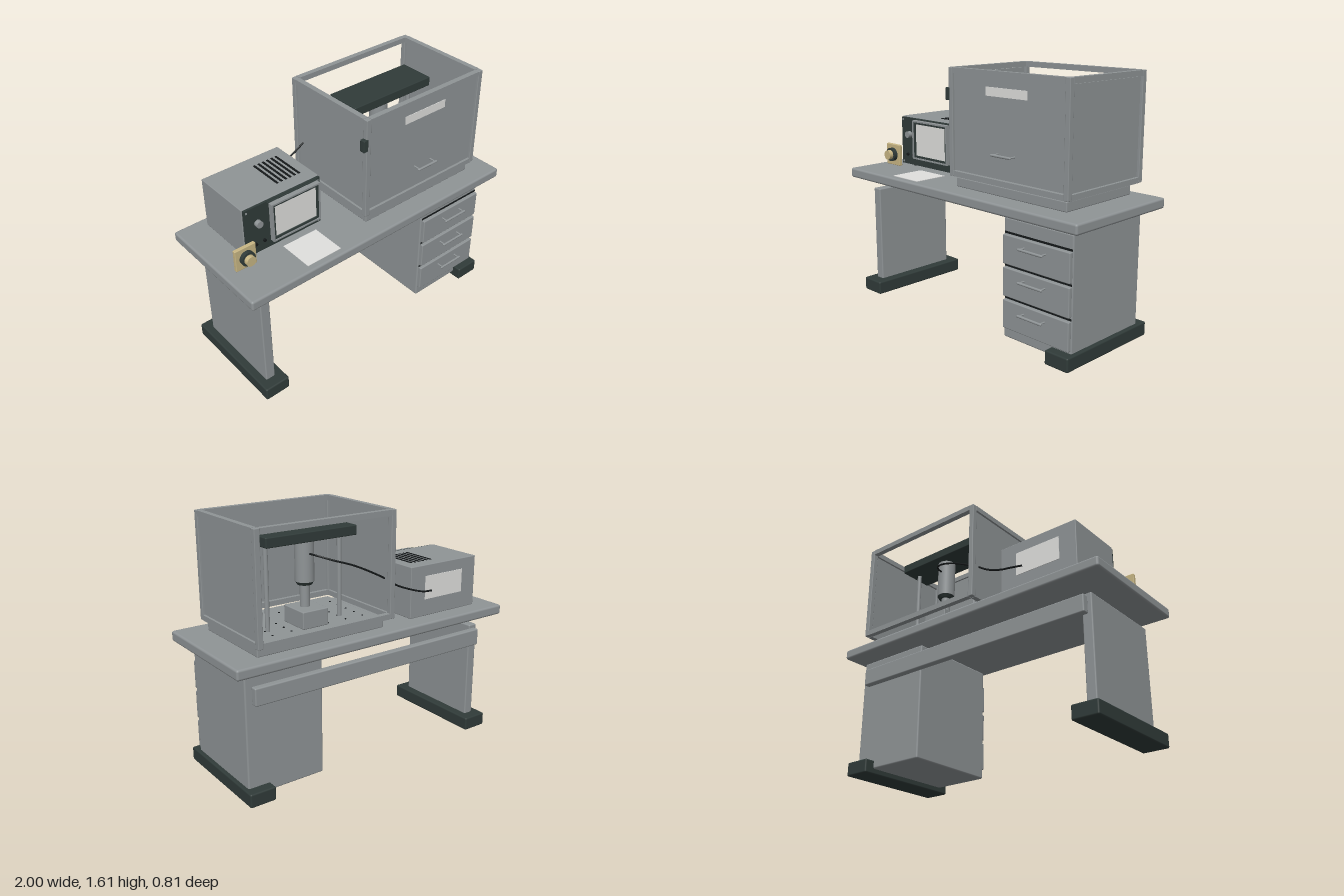
import * as THREE from 'three';
import { RoundedBoxGeometry } from 'three/addons/geometries/RoundedBoxGeometry.js';

const mat = (name, color) => {
  const m = new THREE.MeshStandardMaterial({ color });
  m.name = name;
  return m;
};

export function createModel() {
  const root = new THREE.Group();
  root.name = 'labBench';
  const grey = mat('painted grey', 0x8f9496);
  const dark = mat('dark green black', 0x303b39);
  const black = mat('black', 0x15191a);
  const pale = mat('pale white', 0xe0e0de);
  const gold = mat('brass', 0xc8b684);

  const group = (name) => {
    const g = new THREE.Group();
    g.name = name;
    root.add(g);
    return g;
  };
  const add = (parent, name, geo, m, x = 0, y = 0, z = 0) => {
    const mesh = new THREE.Mesh(geo, m);
    mesh.name = name;
    mesh.position.set(x, y, z);
    parent.add(mesh);
    return mesh;
  };
  // box given by its limits, optionally with rounded edges
  const box = (parent, name, m, [x0, x1], [y0, y1], [z0, z1], r = 0) => {
    const s = [x1 - x0, y1 - y0, z1 - z0];
    const geo = r ? new RoundedBoxGeometry(...s, 2, r) : new THREE.BoxGeometry(...s);
    return add(parent, name, geo, m, (x0 + x1) / 2, (y0 + y1) / 2, (z0 + z1) / 2);
  };
  // cylinder pointing forward (z) from z0 to z1
  const dial = (parent, name, m, x, y, z0, z1, r) => {
    const c = add(parent, name, new THREE.CylinderGeometry(r, r, z1 - z0, 28), m, x, y, (z0 + z1) / 2);
    c.rotation.x = Math.PI / 2;
  };
  // upright cylinder
  const post = (parent, name, m, x, z, y0, y1, r, rBottom = r) =>
    add(parent, name, new THREE.CylinderGeometry(r, rBottom, y1 - y0, 28), m, x, (y0 + y1) / 2, z);
  // bar handle on two stand-offs
  const handle = (parent, x0, x1, y, z0, z1) => {
    const r = 0.008;
    const bar = add(parent, 'handleBar', new THREE.CapsuleGeometry(r, x1 - x0 - 2 * r, 4, 12), grey, (x0 + x1) / 2, y, z1 - r);
    bar.rotation.z = Math.PI / 2;
    for (const x of [x0 + 0.015, x1 - 0.015]) dial(parent, 'handlePost', grey, x, y, z0, z1 - r, 0.005);
  };
  // rectangular ring facing front
  const ring = (parent, name, m, [x0, x1], [y0, y1], w, z, depth) => {
    const rect = (Type, i) => new Type([
      new THREE.Vector2(x0 + i, y0 + i), new THREE.Vector2(x1 - i, y0 + i),
      new THREE.Vector2(x1 - i, y1 - i), new THREE.Vector2(x0 + i, y1 - i)]);
    const s = rect(THREE.Shape, 0);
    s.holes.push(rect(THREE.Path, w));
    add(parent, name, new THREE.ExtrudeGeometry(s, { depth, bevelEnabled: false }), m, 0, 0, z);
  };

  // desk
  const desk = group('desk');
  box(desk, 'desktop', grey, [-1, 1], [0.81, 0.875], [-0.405, 0.405], 0.014);
  box(desk, 'legPanel', grey, [-0.885, -0.82], [0.08, 0.735], [-0.3, 0.3], 0.008);
  box(desk, 'rearBeam', grey, [-0.86, 0.86], [0.605, 0.715], [-0.345, -0.3], 0.008);
  box(desk, 'footLeft', dark, [0.76, 0.93], [0, 0.088], [-0.37, 0.37], 0.01);
  box(desk, 'footRight', dark, [-0.935, -0.765], [0, 0.088], [-0.37, 0.37], 0.01);

  // drawer cabinet
  const cabinet = group('drawerCabinet');
  box(cabinet, 'cabinetBody', grey, [0.385, 0.905], [0.035, 0.78], [-0.305, 0.31], 0.01);
  for (const y of [0.102, 0.303, 0.503]) {
    box(cabinet, 'drawerFront', grey, [0.395, 0.9], [y, y + 0.179], [0.305, 0.333], 0.006);
    box(cabinet, 'drawerGap', black, [0.395, 0.9], [y + 0.182, y + 0.194], [0.308, 0.313]);
    handle(cabinet, 0.55, 0.74, y + 0.13, 0.33, 0.383);
  }

  // base plate with a grid of threaded holes
  const base = group('breadboard');
  box(base, 'basePlate', grey, [-0.065, 0.82], [0.878, 0.938], [-0.311, 0.273], 0.006);
  for (let i = 0; i < 7; i++)
    for (let j = 0; j < 6; j++) post(base, 'hole', black, 0.005 + i * 0.1285, -0.278 + j * 0.086, 0.937, 0.941, 0.006);

  // enclosure frame
  const hood = group('enclosure');
  const X = [-0.096, 0.851], Y = [0.947, 1.609], Z = [-0.38, 0.301], w = 0.034;
  const ends = ([a, b]) => [[a, a + w], [b - w, b]];
  for (const x of ends(X)) for (const z of ends(Z)) box(hood, 'upright', grey, x, Y, z, 0.004);
  for (const y of ends(Y)) {
    for (const z of ends(Z)) box(hood, 'railAcross', grey, [X[0] + w, X[1] - w], y, z);
    for (const x of ends(X)) box(hood, 'railDeep', grey, x, y, [Z[0] + w, Z[1] - w]);
  }
  // enclosure panels; top and back stay open
  box(hood, 'frontPanel', grey, [-0.056, 0.811], [0.986, 1.574], [0.278, 0.29]);
  for (const x of [-0.085, 0.828]) box(hood, 'sidePanel', grey, [x, x + 0.012], [0.984, 1.572], [-0.338, 0.262]);
  box(hood, 'frontLabel', pale, [0.213, 0.54], [1.463, 1.515], [0.289, 0.293]);
  handle(hood, 0.297, 0.46, 1.133, 0.288, 0.345);
  box(hood, 'latch', dark, [-0.12, -0.086], [1.41, 1.487], [0.27, 0.305], 0.004);

  // instrument head inside the enclosure
  const head = group('opticalHead');
  box(head, 'headBeam', dark, [0.064, 0.685], [1.45, 1.51], [-0.213, 0.022], 0.006);
  for (const x of [0.12, 0.63]) post(head, 'headPost', grey, x, -0.11, 0.938, 1.45, 0.014);
  post(head, 'barrel', grey, 0.37, -0.11, 1.2, 1.45, 0.058);
  post(head, 'barrelRing', dark, 0.37, -0.11, 1.18, 1.2, 0.056, 0.045);
  post(head, 'nozzle', grey, 0.37, -0.11, 1.04, 1.18, 0.03);
  box(head, 'sampleStage', grey, [0.278, 0.455], [0.938, 1.045], [-0.218, -0.01], 0.006);

  // cable from barrel to the back of the monitor unit
  const path = new THREE.CatmullRomCurve3([
    [0.37, 1.37, -0.16], [0.35, 1.365, -0.22], [0.28, 1.34, -0.275], [0.15, 1.295, -0.3], [-0.065, 1.19, -0.305],
    [-0.16, 1.13, -0.31], [-0.27, 1.085, -0.32], [-0.36, 1.06, -0.335], [-0.44, 1.05, -0.325],
  ].map((p) => new THREE.Vector3(...p)));
  add(root, 'cable', new THREE.TubeGeometry(path, 60, 0.006, 8), black);

  // monitor unit
  const unit = group('monitorUnit');
  box(unit, 'unitBody', grey, [-0.818, -0.274], [0.89, 1.222], [-0.32, 0.082], 0.005);
  box(unit, 'frontPlate', dark, [-0.812, -0.278], [0.895, 1.217], [0.08, 0.097]);
  ring(unit, 'screenSurround', dark, [-0.658, -0.3], [0.945, 1.215], 0.02, 0.097, 0.012);
  ring(unit, 'screenHousing', grey, [-0.652, -0.306], [0.95, 1.211], 0.01, 0.1, 0.04);
  ring(unit, 'screenBezel', dark, [-0.642, -0.316], [0.96, 1.201], 0.013, 0.1, 0.034);
  box(unit, 'screen', pale, [-0.63, -0.328], [0.972, 1.19], [0.118, 0.125]);
  dial(unit, 'knob', grey, -0.727, 1.103, 0.097, 0.125, 0.022);
  for (const x of [-0.75, -0.69]) dial(unit, 'button', black, x, 0.962, 0.097, 0.108, 0.01);
  for (const x of [-0.797, -0.293])
    for (const y of [0.91, 1.2]) dial(unit, 'screw', grey, x, y, 0.097, 0.1, 0.007);
  for (let i = 0; i < 6; i++) {
    const x = -0.507 + i * 0.0315;
    box(unit, 'vent', black, [x - 0.007, x + 0.007], [1.22, 1.225], [-0.235, 0]);
  }
  for (const x of [-0.745, -0.35])
    for (const z of [-0.26, 0.03]) post(unit, 'unitFoot', black, x, z, 0.874, 0.892, 0.017);
  box(unit, 'rearLabel', pale, [-0.7, -0.39], [1.0, 1.15], [-0.324, -0.319]);

  // brass dial block standing on the desk
  const block = group('dialBlock');
  box(block, 'dialPlate', gold, [-0.924, -0.784], [0.88, 1.025], [0.126, 0.15], 0.004);
  dial(block, 'dialRing', dark, -0.852, 0.955, 0.15, 0.176, 0.046);
  dial(block, 'dialCap', gold, -0.852, 0.955, 0.176, 0.203, 0.032);

  // sheet of paper
  box(root, 'paper', pale, [-0.583, -0.34], [0.873, 0.878], [0.13, 0.362]);

  return root;
}
